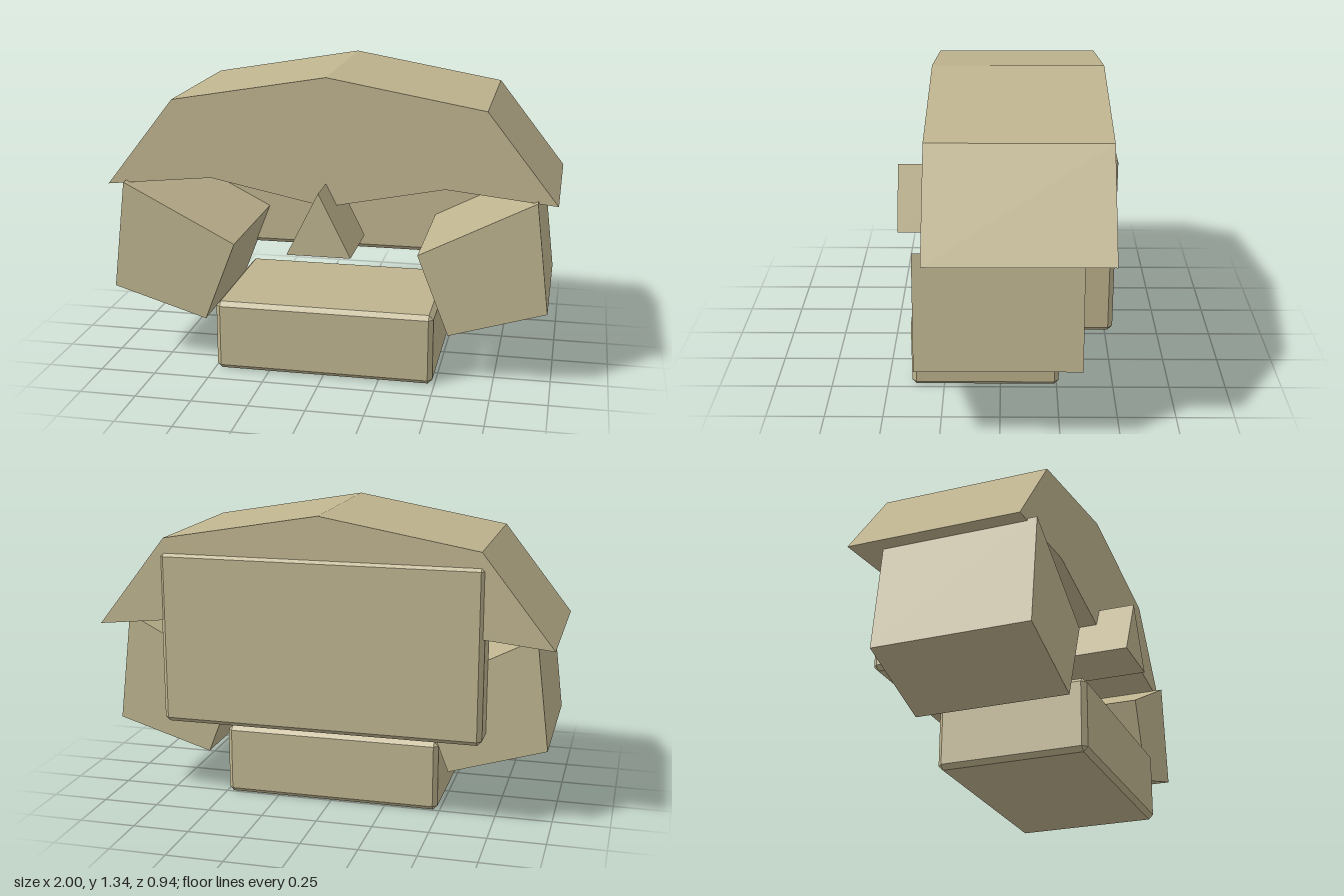
import * as THREE from 'three';
import { ConvexGeometry } from 'three/addons/geometries/ConvexGeometry.js';

const tan = new THREE.MeshStandardMaterial({ color: 0xbfb48f });
tan.name = 'tan';

function named(geometry, name) {
  const mesh = new THREE.Mesh(geometry, tan);
  mesh.name = name;
  return mesh;
}

// Straight prism with an x-y outline, running from z0 to z1
function prism(name, outline, z0, z1) {
  const shape = new THREE.Shape(outline.map(([x, y]) => new THREE.Vector2(x, y)));
  const geometry = new THREE.ExtrudeGeometry(shape, { depth: z1 - z0, bevelEnabled: false });
  geometry.translate(0, 0, z0);
  return named(geometry, name);
}

// Box centred on x with all edges chamfered by c
function chamferBox(name, halfWidth, y0, y1, z0, z1, c) {
  const half = [halfWidth, (y1 - y0) / 2, (z1 - z0) / 2];
  const points = [];
  for (const sx of [-1, 1]) for (const sy of [-1, 1]) for (const sz of [-1, 1]) {
    for (let axis = 0; axis < 3; axis++) {
      const p = half.map((h, i) => (i === axis ? h : h - c));
      points.push(new THREE.Vector3(p[0] * sx, p[1] * sy, p[2] * sz));
    }
  }
  const geometry = new ConvexGeometry(points);
  geometry.translate(0, (y0 + y1) / 2, (z0 + z1) / 2);
  return named(geometry, name);
}

export function createModel() {
  const model = new THREE.Group();
  model.name = 'mask';

  // Overhanging roof with a scalloped lower edge
  model.add(prism('topShell', [
    [-1, 0.82], [-0.52, 0.87], [0, 0.765], [0.52, 0.87],
    [1, 0.82], [0.69, 1.215], [0, 1.335], [-0.69, 1.215],
  ], -0.455, 0.305));

  // Mirrored cheek blocks
  for (const side of [-1, 1]) {
    const outline = [[0.915, 0.84], [0.41, 0.58], [0.55, 0.22], [0.975, 0.35]];
    model.add(prism(side > 0 ? 'leftCheek' : 'rightCheek',
      outline.map(([x, y]) => [x * side, y]), -0.335, 0.345));
  }

  // Wedge nose
  model.add(prism('nose', [[-0.14, 0.59], [0.14, 0.59], [0, 0.87]], 0.125, 0.47));

  // Chin block and back plate
  model.add(chamferBox('chin', 0.49, 0, 0.32, -0.26, 0.393, 0.02));
  model.add(chamferBox('backPlate', 0.71, 0.39, 1.155, -0.468, -0.3, 0.02));

  return model;
}
